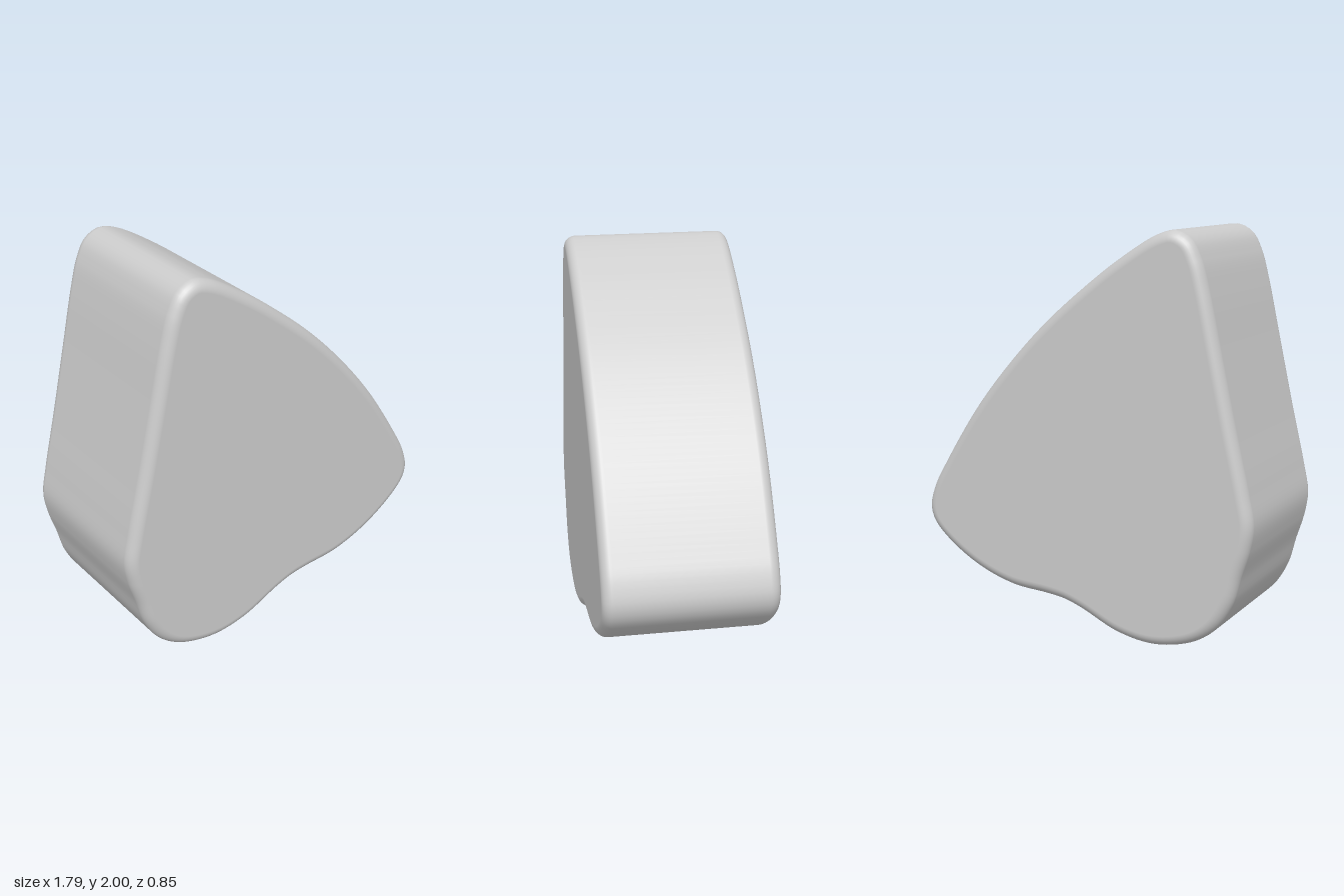
import * as THREE from 'three';

const HALF_DEPTH = 0.424, BEVEL = 0.055, SEGMENTS = 180, BEVEL_STEPS = 8;

// Outline, counter-clockwise seen from the front
const OUTLINE = [
  [-0.4, 0], [-0.2, 0.03], [0, 0.12], [0.1, 0.155], [0.2, 0.17], [0.4, 0.19], [0.6, 0.26],
  [0.78, 0.375], [0.87, 0.47], [0.893, 0.55], [0.865, 0.66], [0.8, 0.78], [0.6, 1.09],
  [0.4, 1.335], [0.2, 1.54], [0, 1.71], [-0.2, 1.86], [-0.4, 1.98], [-0.49, 2], [-0.57, 1.96],
  [-0.62, 1.87], [-0.66, 1.73], [-0.72, 1.46], [-0.8, 1.1], [-0.87, 0.8], [-0.897, 0.65],
  [-0.88, 0.53], [-0.84, 0.4], [-0.8, 0.26], [-0.72, 0.13], [-0.6, 0.045],
];

// Slab whose rim is swept through a quarter-round bevel at the back and front
function roundedSlab() {
  const curve = new THREE.CatmullRomCurve3(
    OUTLINE.map(([x, y]) => new THREE.Vector3(x, y, 0)), true, 'centripetal');
  curve.arcLengthDivisions = 1000;
  const rim = [];
  for (let i = 0; i < SEGMENTS; i++) {
    const p = curve.getPointAt(i / SEGMENTS), t = curve.getTangentAt(i / SEGMENTS);
    rim.push({ x: p.x, y: p.y, nx: t.y, ny: -t.x });
  }

  // Rings from the back cap edge to the front cap edge
  const rings = [];
  for (const side of [-1, 1]) {
    for (let k = 0; k <= BEVEL_STEPS; k++) {
      const a = (side < 0 ? k / BEVEL_STEPS - 1 : k / BEVEL_STEPS) * Math.PI / 2;
      rings.push({ c: Math.cos(a), s: Math.sin(a), z: side * (HALF_DEPTH - BEVEL) });
    }
  }
  const position = [], normal = [], index = [];
  for (const { c, s, z } of rings) {
    for (const r of rim) {
      const inset = BEVEL * (1 - c);
      position.push(r.x - r.nx * inset, r.y - r.ny * inset, z + BEVEL * s);
      normal.push(r.nx * c, r.ny * c, s);
    }
  }
  for (let j = 0; j < rings.length - 1; j++) {
    for (let i = 0; i < SEGMENTS; i++) {
      const n = (i + 1) % SEGMENTS;
      const a = j * SEGMENTS + i, b = j * SEGMENTS + n;
      index.push(a, b, b + SEGMENTS, a, b + SEGMENTS, a + SEGMENTS);
    }
  }

  // Flat front and back caps
  const edge = rim.map(r => new THREE.Vector2(r.x - r.nx * BEVEL, r.y - r.ny * BEVEL));
  const front = (rings.length - 1) * SEGMENTS;
  for (const [a, b, c] of THREE.ShapeUtils.triangulateShape(edge, [])) {
    index.push(front + a, front + b, front + c, a, c, b);
  }

  const geometry = new THREE.BufferGeometry();
  geometry.setAttribute('position', new THREE.Float32BufferAttribute(position, 3));
  geometry.setAttribute('normal', new THREE.Float32BufferAttribute(normal, 3));
  geometry.setIndex(index);
  return geometry;
}

export function createModel() {
  const group = new THREE.Group();
  group.name = 'roundedWedge';
  const body = new THREE.Mesh(roundedSlab(), new THREE.MeshStandardMaterial({ color: 0xcccccc }));
  body.name = 'body';
  group.add(body);
  return group;
}
